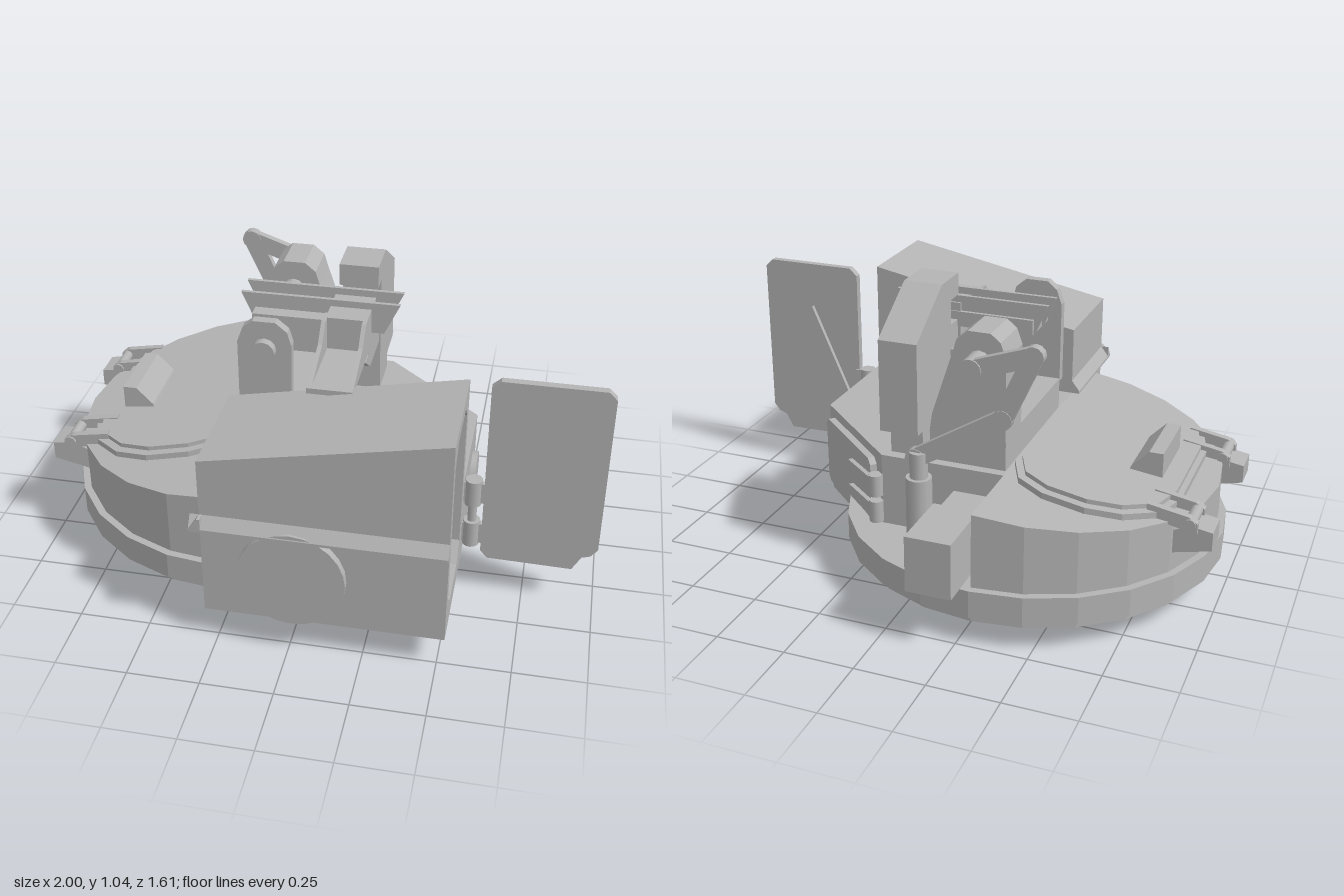
import * as THREE from 'three';

const grey = new THREE.MeshStandardMaterial({ color: 0xb4b4b4 });
grey.name = 'plain grey';

export function createModel() {
  const model = new THREE.Group();

  const add = (name, geo, x = 0, y = 0, z = 0, parent = model) => {
    const m = new THREE.Mesh(geo, grey);
    m.name = name;
    m.position.set(x, y, z);
    parent.add(m);
    return m;
  };
  // box given by its limits
  const box = (name, x0, x1, y0, y1, z0, z1) =>
    add(name, new THREE.BoxGeometry(x1 - x0, y1 - y0, z1 - z0), (x0 + x1) / 2, (y0 + y1) / 2, (z0 + z1) / 2);
  const cyl = (name, r, h, axis, x, y, z, sides = 16, r2 = r) => {
    const g = new THREE.CylinderGeometry(r2, r, h, sides);
    if (axis === 'x') g.rotateZ(-Math.PI / 2);
    if (axis === 'z') g.rotateX(Math.PI / 2);
    return add(name, g, x, y, z);
  };
  const shapeOf = pts => new THREE.Shape(pts.map(p => new THREE.Vector2(p[0], p[1])));
  const extrude = (shape, depth) => new THREE.ExtrudeGeometry(shape, { depth, bevelEnabled: false });
  const bend = (geo, rule) => {
    const p = geo.attributes.position;
    for (let i = 0; i < p.count; i++) p.setY(i, rule(p.getX(i), p.getY(i), p.getZ(i)));
    geo.computeVertexNormals();
    return geo;
  };
  // outline in x,y pushed along z
  const plate = (name, pts, z0, z1) => add(name, extrude(shapeOf(pts), z1 - z0), 0, 0, z0);
  // outline in x,z raised from y0 to y1
  const prismGeo = (pts, y0, y1) =>
    extrude(shapeOf(pts.map(([x, z]) => [x, -z])), y1 - y0).rotateX(-Math.PI / 2).translate(0, y0, 0);
  // outline in z,y pushed along x
  const sideGeo = (shape, x0, x1) => extrude(shape, x1 - x0).rotateY(Math.PI / 2).translate(x0, 0, 0);
  const side = (name, pts, x0, x1) => add(name, sideGeo(shapeOf(pts.map(([z, y]) => [-z, y])), x0, x1));
  const chamfered = (a0, a1, b0, b1, c) => [[a0 + c, b0], [a1 - c, b0], [a1, b0 + c], [a1, b1 - c],
    [a1 - c, b1], [a0 + c, b1], [a0, b1 - c], [a0, b0 + c]];
  const arc = (r, from, to, n) => Array.from({ length: n + 1 }, (_, i) => {
    const a = (from + (to - from) * i / n) * Math.PI / 180;
    return [-0.29 + r * Math.cos(a), -0.05 + r * Math.sin(a)];
  });

  // turntable
  add('lowerDisc', prismGeo(arc(0.665, 0, 345, 23), 0.075, 0.115));
  add('turntableRing', prismGeo(arc(0.688, 0, 345, 23), 0.1, 0.2));
  cyl('pivotStem', 0.014, 0.035, 'y', -0.29, 0.0175, -0.035);
  cyl('pivotHead', 0.034, 0.028, 'y', -0.29, 0.045, -0.035);

  // rounded left hull with a sloping roof
  const slope = x => 0.465 + (x + 0.29) * 0.13;
  add('roundHull', bend(prismGeo(arc(0.662, 90, 270, 12), 0.12, 0.465), (x, y) => (y > 0.4 ? slope(x) : y)));
  // squared right hull with an angled back corner
  add('squareHull', prismGeo([[-0.29, 0.4], [0.525, 0.4], [0.525, -0.08], [0.16, -0.41], [-0.29, -0.41]], 0.12, 0.465));

  // hatch in two steps
  const hatch = [[-0.3, -0.32], [-0.35, -0.43], [-0.45, -0.485], [-0.6, -0.5], [-0.72, -0.47], [-0.83, -0.38],
    [-0.865, -0.25], [-0.865, 0.15], [-0.83, 0.27], [-0.72, 0.36], [-0.6, 0.385], [-0.45, 0.36], [-0.35, 0.31], [-0.3, 0.21]];
  const step = (name, s, lift) => add(name, bend(
    prismGeo(hatch.map(([x, z]) => [-0.585 + (x + 0.585) * s, -0.055 + (z + 0.055) * s]), 0, 1),
    (x, y) => slope(x) + (y > 0.5 ? lift : -0.02)));
  step('hatchRim', 1, 0.022);
  step('hatchLid', 0.93, 0.038);
  plate('hatchPeriscope', [[-0.78, 0.42], [-0.66, 0.44], [-0.67, 0.465], [-0.73, 0.527], [-0.78, 0.527]], -0.18, 0.08);

  // hatch hinges
  for (const z of [-0.325, 0.21]) {
    plate('hingeBlock', [[-1, 0.305], [-0.87, 0.275], [-0.87, 0.36], [-0.94, 0.38], [-1, 0.37]], z - 0.055, z + 0.055);
    for (const d of [-0.055, 0.055])
      plate('hingeStrap', [[-0.95, 0.36], [-0.78, 0.40], [-0.78, 0.445], [-0.92, 0.42], [-0.95, 0.4]], z + d - 0.013, z + d + 0.013);
    cyl('hingePin', 0.02, 0.15, 'z', -0.925, 0.395, z, 10);
  }

  // sensor housing with a recessed front window and sloping roof
  const roof = (x, y) => (y > 0.87 ? 0.88 + (x - 0.525) * 0.195 : y);
  const frame = shapeOf([[-0.77, 0.12], [-0.365, 0.12], [-0.365, 0.88], [-0.77, 0.88]]);
  add('housingBody', bend(sideGeo(frame.clone(), -0.29, 0.375), roof));
  frame.holes.push(new THREE.Path(chamfered(-0.725, -0.41, 0.2, 0.83, 0.06).map(p => new THREE.Vector2(...p))));
  add('housingFrame', bend(sideGeo(frame, 0.375, 0.525), roof));
  side('frontTrim', [[0.77, 0.465], [0.8, 0.465], [0.8, 0.475], [0.77, 0.515]], -0.32, 0.525);
  plate('sideTrim', [[-0.32, 0.465], [-0.28, 0.465], [-0.28, 0.515], [-0.29, 0.515], [-0.32, 0.475]], 0.365, 0.8);
  cyl('frontRoundCover', 0.182, 0.028, 'z', 0.015, 0.31, 0.784, 24);
  cyl('sideRoundCover', 0.078, 0.022, 'x', 0.534, 0.3, 0.05, 20);

  // lenses
  for (const z of [0.645, 0.495]) {
    cyl('smallLensBarrel', 0.064, 0.09, 'x', 0.42, 0.64, z, 20);
    cyl('smallLensStep', 0.05, 0.03, 'x', 0.48, 0.64, z, 20, 0.034);
  }
  cyl('largeLensBarrel', 0.14, 0.06, 'x', 0.405, 0.385, 0.57, 24);
  add('largeLensDome', new THREE.SphereGeometry(0.125, 24, 8, 0, Math.PI * 2, 0, Math.PI / 2)
    .rotateZ(-Math.PI / 2).scale(0.6, 1, 1), 0.432, 0.385, 0.57);

  // open window door with its hinges and stay
  plate('windowDoor', [[0.62, 0.15], [0.915, 0.145], [0.945, 0.2], [0.975, 0.21], [0.998, 0.24], [0.998, 0.845],
    [0.97, 0.873], [0.625, 0.873], [0.595, 0.845], [0.595, 0.18]], 0.322, 0.35);
  for (const y of [0.24, 0.41]) {
    box('doorHinge', 0.52, 0.61, y - 0.04, y + 0.04, 0.315, 0.335);
    cyl('doorHingeBarrel', 0.03, 0.1, 'y', 0.557, y, 0.322, 12);
  }
  cyl('doorHingePin', 0.016, 0.27, 'y', 0.557, 0.325, 0.322, 10);
  plate('doorStay', [[0.63, 0.33], [0.66, 0.33], [0.81, 0.68], [0.79, 0.7]], 0.305, 0.323);

  // access panel on the angled corner
  const corner = new THREE.Group();
  corner.name = 'cornerPanel';
  corner.position.set(0.3425, 0, -0.245);
  corner.rotation.y = Math.PI - Math.atan2(0.33, 0.365);
  model.add(corner);
  add('panel', extrude(shapeOf(chamfered(-0.22, 0.2, 0.17, 0.43, 0.02)), 0.025), 0, 0, 0, corner);
  for (const y of [0.25, 0.35]) {
    add('panelStrap', extrude(shapeOf([[0.03, y - 0.015], [0.23, y - 0.03], [0.23, y + 0.03], [0.03, y + 0.015]]), 0.022), 0, 0, 0.02, corner);
    add('panelHinge', new THREE.CylinderGeometry(0.026, 0.026, 0.08, 10), 0.235, y, 0.02, corner);
  }

  // rear box on two brackets
  box('rearBox', -0.26, -0.1, 0.2, 0.4, -0.81, -0.565);
  side('rearBoxWindow', chamfered(-0.78, -0.59, 0.225, 0.375, 0.025), -0.1, -0.092);
  for (const y of [0.24, 0.36]) box('rearBracket', -0.25, -0.11, y - 0.015, y + 0.015, -0.58, -0.4);

  // weapon cradle
  box('cradleBase', -0.285, -0.01, 0.46, 0.58, -0.375, 0.215);
  const cheek = [[-0.285, 0.57], [-0.1, 0.57], [-0.095, 0.87], [-0.11, 0.92], [-0.15, 0.953], [-0.23, 0.953],
    [-0.265, 0.925], [-0.285, 0.87]];
  plate('frontCheek', cheek, 0.215, 0.25);
  plate('rearCheek', [[-0.285, 0.57], [-0.01, 0.57], [-0.02, 0.64], ...cheek.slice(2)], -0.38, -0.22);
  for (const z of [0.26, 0.2, -0.19, -0.39]) cyl('cradleBolt', 0.042, 0.04, 'z', -0.19, 0.848, z, 12);
  cyl('cradleAxle', 0.025, 0.6, 'z', -0.19, 0.848, -0.07, 12);

  // receiver and guide rails
  box('receiver', -0.27, 0.145, 0.845, 0.9, -0.07, 0.1);
  box('receiverBlock', 0, 0.145, 0.775, 0.93, -0.065, 0.1);
  side('receiverUnderside', [[0.16, 0.78], [0.06, 0.71], [-0.135, 0.71], [-0.135, 0.78]], 0, 0.145);
  box('receiverLink', 0.01, 0.14, 0.78, 0.87, -0.2, -0.06);
  for (const z of [0.042, -0.05])
    plate('guideRail', [[-0.27, 0.84], [0.19, 0.84], [0.245, 0.955], [-0.32, 0.955]], z - 0.007, z + 0.007);

  // open chute at the front of the receiver
  const chuteSide = [[0.1, 0.8], [0.41, 0.8], [0.22, 0.87], [0.16, 0.93], [0.1, 0.93]];
  side('chuteLeftWall', chuteSide, 0.13, 0.145);
  side('chuteRightWall', chuteSide, -0.01, 0.005);
  box('chuteFloor', -0.01, 0.145, 0.79, 0.81, 0.1, 0.41);
  box('chuteBack', -0.01, 0.145, 0.8, 0.93, 0.1, 0.135);

  // tall feed box
  side('feedBox', [[-0.06, 1.04], [-0.06, 0.96], [-0.13, 0.96], [-0.13, 0.57], [-0.435, 0.57], [-0.435, 0.9], [-0.21, 1.04]], 0.01, 0.15);
  box('feedBoxFoot', 0.02, 0.14, 0.46, 0.58, -0.37, -0.2);

  // cranked linkage and its post
  const joints = [[-0.19, 0.85], [-0.405, 0.925], [-0.3, 0.69], [0.01, 0.5]];
  joints.slice(1).forEach(([x, y], i) => {
    const [px, py] = joints[i];
    const arm = add('linkArm', new THREE.BoxGeometry(Math.hypot(x - px, y - py) + 0.03, 0.065, 0.028), (x + px) / 2, (y + py) / 2, -0.45);
    arm.rotation.z = Math.atan2(y - py, x - px);
    cyl('linkJoint', 0.036, 0.034, 'z', x, y, -0.45, 12);
  });
  cyl('linkBolt', 0.04, 0.09, 'z', -0.19, 0.85, -0.425, 12);
  cyl('linkPost', 0.046, 0.24, 'y', 0.0, 0.31, -0.455, 12);
  cyl('linkPostTop', 0.032, 0.1, 'y', 0.0, 0.475, -0.455, 12);

  return model;
}
